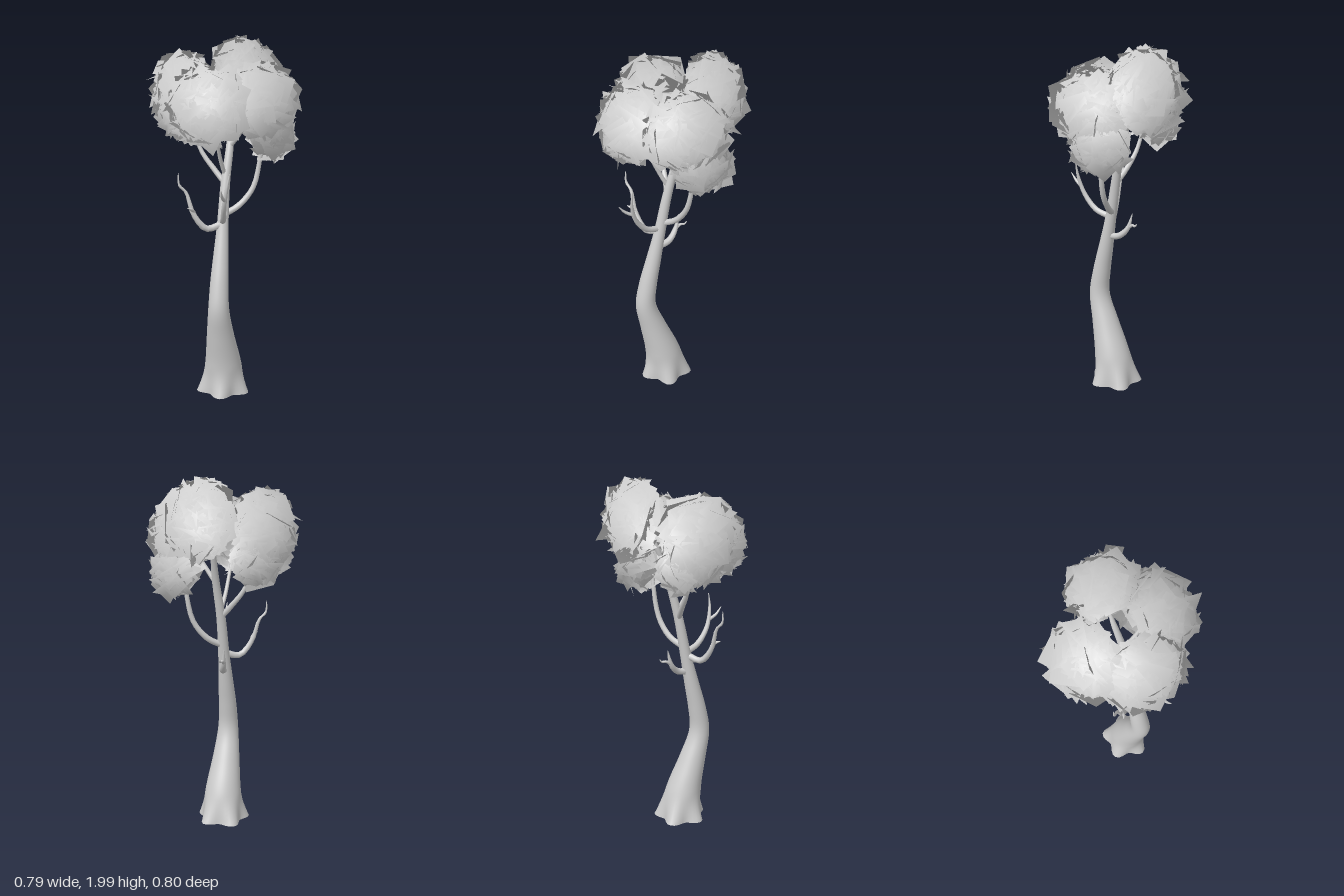
import * as THREE from 'three';

const V = (p) => new THREE.Vector3(...p);
const bark = new THREE.MeshStandardMaterial({ color: 0xcccccc, side: THREE.DoubleSide });
bark.name = 'bark grey';
const leaf = new THREE.MeshStandardMaterial({ color: 0xcccccc, side: THREE.DoubleSide });
leaf.name = 'leaf grey';

// Small seeded random generator
let seed = 7;
function rnd() {
  seed = (seed * 16807) % 2147483647;
  return seed / 2147483647;
}
const jitter = (a) => (rnd() * 2 - 1) * a;

// Tapered tube through points [x, y, z, radius]; upright keeps the rings level
function limb(name, pts, { sides = 8, steps = 16, upright = false, flare = () => 1 } = {}) {
  const curve = new THREE.CatmullRomCurve3(pts.map((p) => V(p)));
  const radii = new THREE.CatmullRomCurve3(pts.map((p, i) => new THREE.Vector3(p[3], i, 0)));
  const frames = curve.computeFrenetFrames(steps);
  const pos = [], idx = [];
  for (let i = 0; i <= steps; i++) {
    const c = curve.getPoint(i / steps), r = radii.getPoint(i / steps).x;
    const n = upright ? V([1, 0, 0]) : frames.normals[i];
    const b = upright ? V([0, 0, -1]) : frames.binormals[i];
    for (let j = 0; j < sides; j++) {
      const a = (j / sides) * Math.PI * 2, k = r * flare(a, c.y);
      const p = c.clone().addScaledVector(n, Math.cos(a) * k).addScaledVector(b, Math.sin(a) * k);
      pos.push(p.x, p.y, p.z);
      if (i < steps) {
        const q = i * sides + j, s = i * sides + (j + 1) % sides;
        idx.push(q, s, s + sides, q, s + sides, q + sides);
      }
    }
  }
  // Close the tip
  const last = curve.getPoint(1), tip = pos.length / 3;
  pos.push(last.x, last.y, last.z);
  for (let j = 0; j < sides; j++) idx.push(steps * sides + j, steps * sides + (j + 1) % sides, tip);
  const g = new THREE.BufferGeometry();
  g.setAttribute('position', new THREE.Float32BufferAttribute(pos, 3));
  g.setIndex(idx);
  g.computeVertexNormals();
  const m = new THREE.Mesh(g, bark);
  m.name = name;
  return m;
}

// Lobe of square leaf cards over an ellipsoid (radial, height, sideways radii), shaded as one soft crown
const crown = V([0, 1.45, 0]);
function leafLobe(name, centre, [rOut, rUp, rSide], count, size) {
  const c = V(centre), out = V([c.x, 0, c.z]).normalize(), side = V([-out.z, 0, out.x]);
  const place = (x, y, z) => out.clone().multiplyScalar(x).addScaledVector(side, z).setY(y);
  const pos = [], nor = [], idx = [];
  for (let i = 0; i < count; i++) {
    const y = 1 - (2 * (i + 0.5)) / count, a = i * 2.39996;
    const s = Math.sqrt(1 - y * y), x = Math.cos(a) * s, z = Math.sin(a) * s;
    // The inner underside stays open
    if (-x * 0.85 - y * 0.45 > 0.6) continue;
    const k = 0.97 + jitter(0.09);
    const mid = place(x * rOut * k, y * rUp * k, z * rSide * k).add(c);
    const tilt = i % 10 === 0 ? 0.9 : 0.42;
    const face = place(x / rOut, y / rUp, z / rSide).normalize()
      .add(V([jitter(tilt), jitter(tilt), jitter(tilt)])).normalize();
    const u = V([jitter(1), jitter(1), jitter(1)]).cross(face).normalize();
    const w = face.clone().cross(u);
    const h = size * (0.8 + rnd() * 0.4) / 2;
    const quad = [[-1, -1], [1, -1], [1, 1], [-1, 1]].map(([p, q]) =>
      mid.clone().addScaledVector(u, p * h).addScaledVector(w, q * h));
    // Push cards back from the open middle of the crown
    const gap = Math.min(...quad.map((p) => p.dot(out)));
    if (gap < 0.07 && Math.abs(mid.dot(side)) < 0.14) {
      quad.forEach((p) => p.addScaledVector(out, 0.07 - gap));
    }
    const first = pos.length / 3;
    for (const p of quad) {
      const n = p.clone().sub(crown).normalize().multiplyScalar(0.8)
        .addScaledVector(p.clone().sub(c).normalize(), 0.25).normalize();
      pos.push(p.x, p.y, p.z);
      nor.push(n.x, n.y, n.z);
    }
    idx.push(first, first + 1, first + 2, first, first + 2, first + 3);
  }
  const g = new THREE.BufferGeometry();
  g.setAttribute('position', new THREE.Float32BufferAttribute(pos, 3));
  g.setAttribute('normal', new THREE.Float32BufferAttribute(nor, 3));
  g.setIndex(idx);
  const m = new THREE.Mesh(g, leaf);
  m.name = name;
  return m;
}

// Five spreading root lobes
const rootFlare = (a, y) =>
  1 + 0.16 * Math.cos(5 * (a - Math.PI * 1.25)) * Math.max(0, 1 - y / 0.16) ** 1.5;

export function createModel() {
  seed = 7;
  const tree = new THREE.Group();
  tree.name = 'tree';

  // Curved trunk, open underneath
  tree.add(limb('trunk', [
    [-0.025, 0, 0.03, 0.133], [-0.03, 0.1, 0.038, 0.112], [-0.045, 0.2, 0.052, 0.098],
    [-0.085, 0.36, 0.083, 0.076], [-0.118, 0.52, 0.112, 0.058], [-0.105, 0.66, 0.1, 0.051],
    [-0.08, 0.8, 0.08, 0.043], [-0.048, 0.98, 0.055, 0.032], [-0.012, 1.2, 0.03, 0.026],
    [0.035, 1.4, 0.008, 0.021], [0.09, 1.6, -0.04, 0.014], [0.12, 1.68, -0.06, 0.006],
  ], { sides: 40, steps: 48, upright: true, flare: rootFlare }));

  // Branches that carry the crown
  const boughs = [
    [[-0.04, 1.03, 0.045, 0.018], [0.05, 1.08, 0.075, 0.017], [0.12, 1.18, 0.11, 0.015], [0.155, 1.36, 0.13, 0.012], [0.17, 1.55, 0.17, 0.005]],
    [[-0.012, 1.2, 0.03, 0.016], [-0.04, 1.27, -0.03, 0.015], [-0.085, 1.38, -0.1, 0.012], [-0.12, 1.6, -0.16, 0.005]],
    [[-0.005, 1.24, 0.02, 0.012], [-0.05, 1.33, 0.04, 0.011], [-0.1, 1.45, 0.07, 0.009], [-0.17, 1.62, 0.1, 0.004]],
    [[0.035, 1.4, 0.01, 0.014], [0.06, 1.47, 0.06, 0.012], [0.11, 1.6, 0.13, 0.005]],
  ];
  boughs.forEach((p) => tree.add(limb('bough', p)));

  // Bare lower branches and their twigs
  const bare = [
    [[-0.05, 0.985, 0.055, 0.02], [-0.14, 0.965, 0.03, 0.018], [-0.205, 1.05, 0, 0.014], [-0.235, 1.17, -0.025, 0.009], [-0.268, 1.21, -0.04, 0.007], [-0.27, 1.275, -0.045, 0.002]],
    [[-0.2, 1.06, 0, 0.01], [-0.225, 1.08, 0.01, 0.008], [-0.25, 1.09, 0.01, 0.002]],
    [[-0.05, 1, 0.055, 0.018], [-0.1, 1.03, 0.13, 0.016], [-0.14, 1.11, 0.19, 0.013], [-0.15, 1.21, 0.225, 0.009], [-0.14, 1.3, 0.24, 0.002]],
    [[-0.145, 1.15, 0.205, 0.01], [-0.185, 1.18, 0.235, 0.008], [-0.21, 1.22, 0.26, 0.002]],
    [[-0.065, 0.885, 0.07, 0.02], [-0.01, 0.9, 0.01, 0.018], [0.015, 0.95, -0.035, 0.014], [0.03, 1.04, -0.06, 0.002]],
    [[0.012, 0.95, -0.035, 0.01], [0.04, 0.975, -0.06, 0.008], [0.06, 0.975, -0.07, 0.006], [0.07, 0.99, -0.08, 0.002]],
  ];
  bare.forEach((p, i) => tree.add(limb(i % 2 ? 'twig' : 'bareBranch', p)));

  // Leaf lobes around the open middle
  const lobes = [
    ['backRightLeaves', [-0.14, 1.67, -0.17], [0.14, 0.19, 0.155], 190, 0.145],
    ['lowBackLeaves', [-0.07, 1.53, -0.2], [0.1, 0.09, 0.08], 60, 0.13],
    ['backLeftLeaves', [0.195, 1.755, -0.085], [0.13, 0.17, 0.155], 180, 0.145],
    ['frontRightLeaves', [-0.18, 1.64, 0.105], [0.135, 0.165, 0.175], 190, 0.145],
    ['frontLeftLeaves', [0.125, 1.65, 0.17], [0.145, 0.165, 0.18], 190, 0.145],
    ['lowFrontLeaves', [0.205, 1.465, 0.135], [0.105, 0.105, 0.13], 90, 0.14],
  ];
  lobes.forEach((l) => tree.add(leafLobe(...l)));
  return tree;
}
